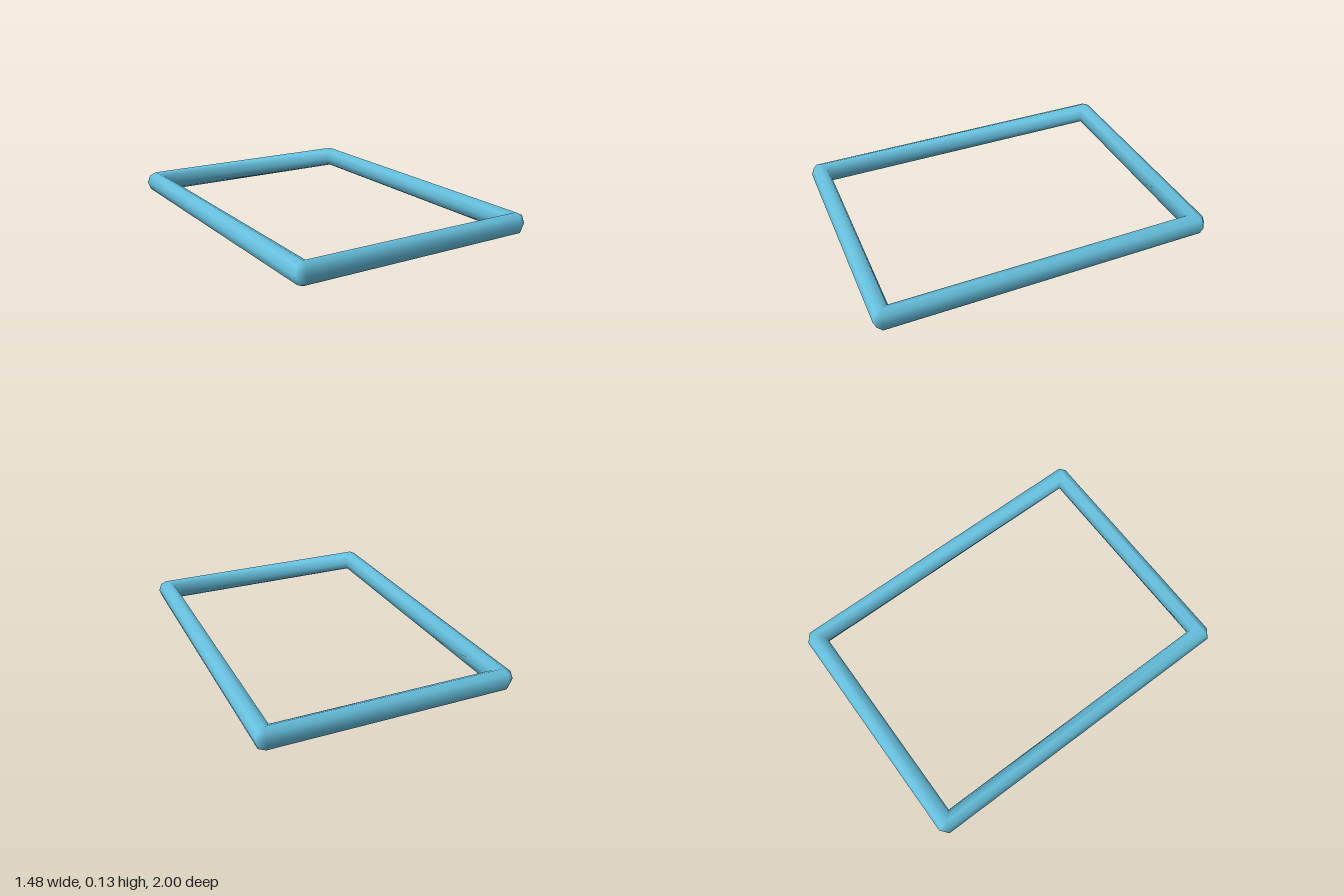
import * as THREE from 'three';
import { mergeVertices } from 'three/addons/utils/BufferGeometryUtils.js';

const SIDES = 8;
const HALF_X = 0.685, HALF_Z = 0.945; // rail centre lines
const RADIUS_OUT = 0.054, RADIUS_UP = 0.065; // oval tube section
const CUT_X = 0.87, CUT_Z = 0.68; // corner bevel as a share of the outward offset

// One octagonal section at a corner; inner points stay mitred, outer points are bevelled
function cornerRing(sx, sz, onXRail) {
  const ring = [];
  for (let j = 0; j < SIDES; j++) {
    const a = (j / SIDES) * Math.PI * 2;
    const out = Math.cos(a) * RADIUS_OUT;
    const bevel = Math.max(out, 0);
    const x = HALF_X + out - (onXRail ? 0 : bevel * CUT_X);
    const z = HALF_Z + out - (onXRail ? bevel * CUT_Z : 0);
    ring.push(sx * x, RADIUS_UP + Math.sin(a) * RADIUS_UP, sz * z);
  }
  return ring;
}

// Closed tube swept around the four corners
function frameGeometry() {
  const positions = [], index = [];
  const corners = [[1, 1], [1, -1], [-1, -1], [-1, 1]];
  corners.forEach(([sx, sz], i) => {
    const fromXRail = i % 2 === 1;
    positions.push(...cornerRing(sx, sz, fromXRail), ...cornerRing(sx, sz, !fromXRail));
  });
  const rings = corners.length * 2;
  for (let i = 0; i < rings; i++) {
    for (let j = 0; j < SIDES; j++) {
      const k = (j + 1) % SIDES, n = (i + 1) % rings;
      const a = i * SIDES + j, b = n * SIDES + j, c = n * SIDES + k, d = i * SIDES + k;
      index.push(a, b, d, b, c, d);
    }
  }
  const geometry = new THREE.BufferGeometry();
  geometry.setAttribute('position', new THREE.Float32BufferAttribute(positions, 3));
  geometry.setIndex(index);
  const merged = mergeVertices(geometry, 1e-5);
  merged.computeVertexNormals();
  return merged;
}

export function createModel() {
  const group = new THREE.Group();
  group.name = 'rectangularFrame';
  const frame = new THREE.Mesh(frameGeometry(), new THREE.MeshStandardMaterial({ color: 0x66c0de }));
  frame.name = 'tubeFrame';
  group.add(frame);
  return group;
}
